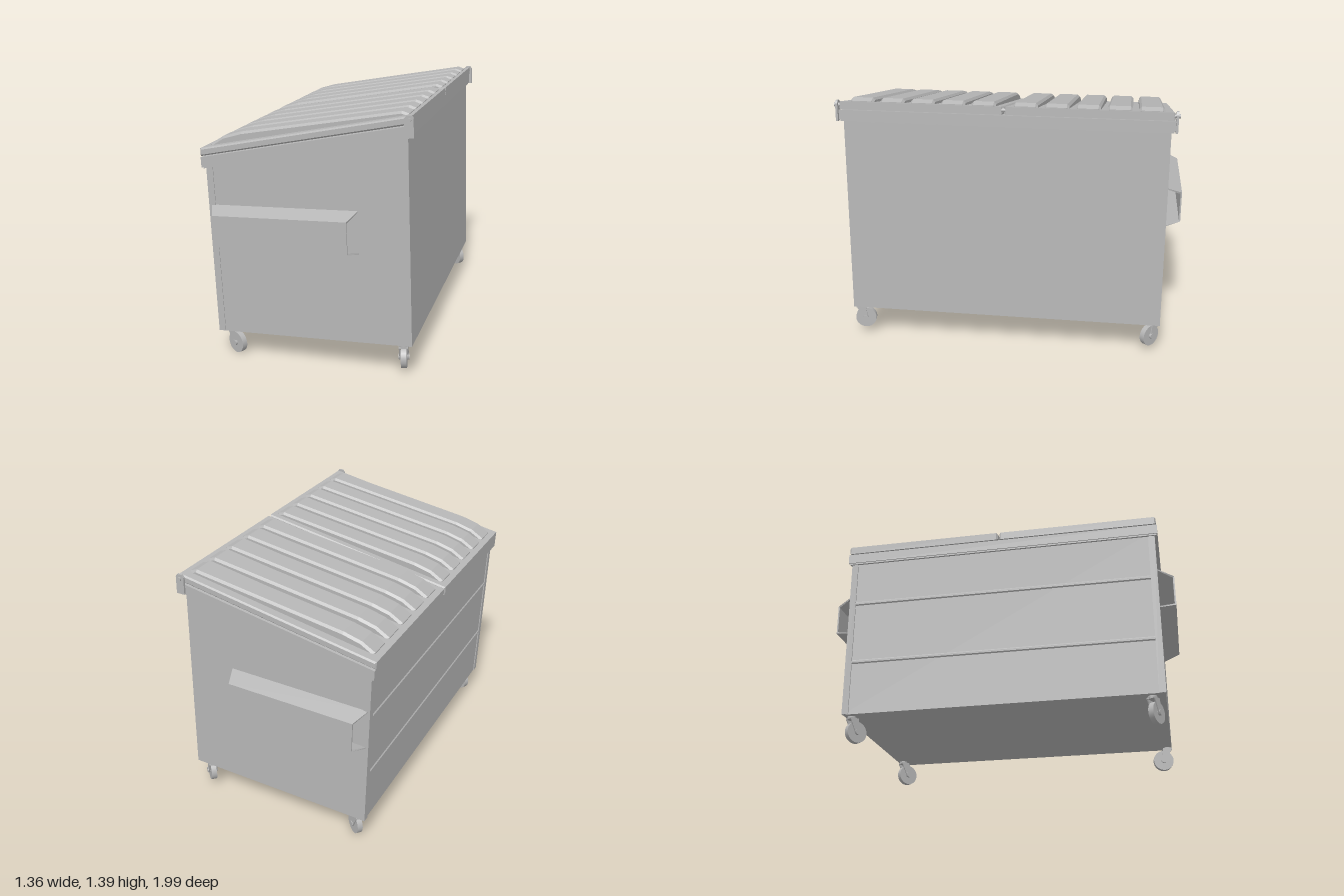
import * as THREE from 'three';

const steel = new THREE.MeshStandardMaterial({ color: 0xb6b6b6 });
steel.name = 'grey steel';
const sheet = steel;
sheet.side = THREE.DoubleSide;

const add = (parent, name, geo, x = 0, y = 0, z = 0) => {
  const m = new THREE.Mesh(geo, steel);
  m.name = name;
  m.position.set(x, y, z);
  parent.add(m);
  return m;
};

// Side profile (x, y) extruded along z between z0 and z1, with an optional end chamfer
function slab(pts, z0, z1, chamfer = 0) {
  const shape = new THREE.Shape(pts.map(p => new THREE.Vector2(...p)));
  const g = new THREE.ExtrudeGeometry(shape, {
    depth: z1 - z0 - 2 * chamfer, bevelEnabled: chamfer > 0, bevelSegments: 1,
    bevelThickness: chamfer, bevelSize: chamfer, bevelOffset: -chamfer,
  });
  return g.translate(0, 0, z0 + chamfer);
}

// Heights of the sloping top: y of the lid surface at x
const lidY = x => 1.17 + (x + 0.517) * 0.166;
const band = (x0, x1, lo, hi) => [
  [x0, lidY(x0) + lo], [x1, lidY(x1) + lo], [x1, lidY(x1) + hi], [x0, lidY(x0) + hi],
];

// Flat-sided quads from lists of four corners
function quads(list) {
  const pos = [];
  for (const [a, b, c, d] of list) pos.push(...a, ...b, ...c, ...a, ...c, ...d);
  const g = new THREE.BufferGeometry();
  g.setAttribute('position', new THREE.Float32BufferAttribute(pos, 3));
  g.computeVertexNormals();
  return g;
}

// Open-ended fork sleeve with sloping top and bottom and slanted ends
function sleeve(s) {
  const section = [[0.638, 0.86, 0], [0.665, 0.955, 1], [0.835, 0.955, 1], [0.87, 0.86, 0]];
  const t = 0.008;
  const ring = (x0, x1, inset) => section.map(([y, z, out]) => {
    const yy = y + (y < 0.75 ? inset : -inset);
    const zz = (z - (out ? inset : 0)) * s;
    return [[out ? x0 + 0.042 : x0, yy, zz], [out ? x1 - 0.036 : x1, yy, zz]];
  });
  const outer = ring(-0.483, 0.31, 0), inner = ring(-0.483, 0.31, t);
  const faces = [];
  const face = (...q) => faces.push(s > 0 ? q : q.reverse());
  for (let i = 0; i < 3; i++) {
    const [a, b] = [outer[i], outer[i + 1]], [c, d] = [inner[i], inner[i + 1]];
    face(a[0], a[1], b[1], b[0]);
    face(c[1], c[0], d[0], d[1]);
    face(a[0], b[0], d[0], c[0]);
    face(a[1], c[1], d[1], b[1]);
  }
  return quads(faces);
}

// Swivel caster, origin at the wheel centre, trailing towards +x
function caster() {
  const g = new THREE.Group();
  g.name = 'caster';
  add(g, 'wheel', new THREE.CylinderGeometry(0.059, 0.059, 0.03, 28).rotateX(Math.PI / 2));
  add(g, 'hub', new THREE.CylinderGeometry(0.016, 0.016, 0.056, 14).rotateX(Math.PI / 2));
  const leg = [[-0.012, -0.012], [0.012, -0.008], [0.0, 0.072], [-0.052, 0.072]];
  for (const s of [-1, 1]) add(g, 'forkLeg', slab(leg, -0.003, 0.003), 0, 0, s * 0.021);
  add(g, 'forkBridge', new THREE.BoxGeometry(0.052, 0.008, 0.048), -0.026, 0.07, 0);
  add(g, 'swivel', new THREE.CylinderGeometry(0.024, 0.024, 0.016, 16), -0.03, 0.078, 0);
  return g;
}

export function createModel() {
  const model = new THREE.Group();
  model.name = 'dumpster';
  const bin = new THREE.Group();
  bin.name = 'bin';
  bin.rotation.set(0, 0.1405, 0.0384, 'YXZ');
  bin.position.set(-0.002, 0, -0.013);
  model.add(bin);

  // Container
  add(bin, 'body', slab([[-0.488, 0.158], [0.572, 0.158], [0.574, 1.27], [-0.488, 1.1]], -0.864, 0.864));
  for (const s of [-1, 1]) {
    add(bin, 'cornerPost', new THREE.BoxGeometry(0.036, 0.92, 0.036), -0.476, 0.62, s * 0.85);
    add(bin, 'forkSleeve', sleeve(s));
  }
  // Horizontal creases across the low wall
  for (const y of [0.462, 0.818])
    add(bin, 'wallCrease', slab([[-0.487, y - 0.014], [-0.487, y + 0.012], [-0.493, y + 0.004], [-0.493, y - 0.006]], -0.832, 0.832));

  // Rim around the opening
  add(bin, 'rim', slab(band(-0.513, 0.592, -0.1, -0.046), -0.884, 0.884));
  add(bin, 'rimLip', slab(band(-0.505, 0.586, -0.108, -0.1), -0.878, 0.878));

  // Two lids, each with five raised ribs
  const rib = [[-0.482, -0.03], [0.572, -0.03], [0.572, 0.004], [0.535, 0.023], [-0.31, 0.045], [-0.41, 0.036], [-0.482, 0.006]]
    .map(([x, h]) => [x, lidY(x) + h]);
  for (const s of [-1, 1]) {
    const lid = new THREE.Group();
    lid.name = 'lid';
    bin.add(lid);
    const span = (a, b) => s > 0 ? [a, b] : [-b, -a];
    add(lid, 'lidPanel', slab(band(-0.517, 0.598, -0.042, 0), ...span(0.004, 0.88), 0.008));
    for (let k = 0; k < 5; k++) {
      const z = 0.045 + k * 0.163;
      add(lid, 'lidRib', slab(rib, ...span(z, z + 0.13), 0.012));
    }
  }

  // Hinge rod and its end brackets
  add(bin, 'hingeRod', new THREE.CylinderGeometry(0.011, 0.011, 1.81, 14).rotateX(Math.PI / 2), 0.587, 1.336, 0);
  const bracket = [[0.563, 1.25], [0.609, 1.25], [0.609, 1.345], [0.6, 1.36], [0.574, 1.36], [0.563, 1.345]];
  for (const s of [-1, 1]) add(bin, 'hingeBracket', slab(bracket, -0.006, 0.006), 0, 0, s * 0.889);

  // Casters, each swivelled its own way
  for (const [x, z, yaw] of [[-0.416, -0.81, -0.66], [-0.416, 0.81, -0.49], [0.517, -0.81, -0.75], [0.517, 0.81, 1.74]]) {
    const c = caster();
    c.position.set(x, 0.0755, z);
    c.rotation.y = yaw;
    bin.add(c);
  }
  return model;
}
